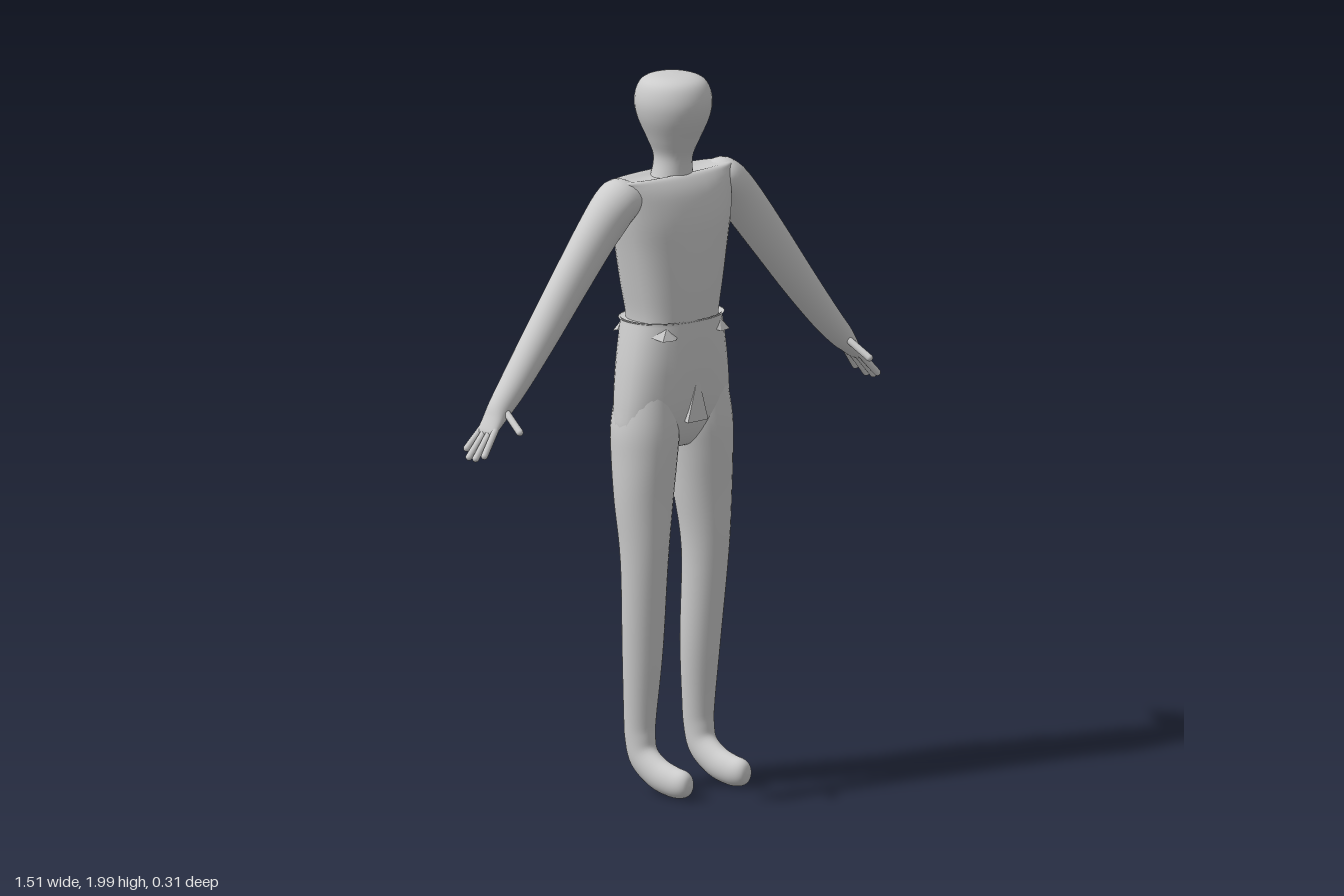
import * as THREE from 'three';
import { ConvexGeometry } from 'three/addons/geometries/ConvexGeometry.js';

const SIDES = 32;

// Smooth interpolation of one number along a list of rings
function spline(a, b, c, d, t) {
  const v = (c - a) / 2, w = (d - b) / 2;
  return (2 * b - 2 * c + v + w) * t ** 3 + (-3 * b + 3 * c - 2 * v - w) * t * t + v * t + b;
}

// Closed skin through rings [x, y, z, width radius, depth radius, tilt in degrees].
// The rings tilt about the x axis (body, legs) or about the z axis (arms).
function loft(rings, { axis = 'x', power = 2, steps = 5, mirror = 1 } = {}) {
  const fine = [];
  const last = rings.length - 1;
  for (let i = 0; i < last; i++) {
    for (let k = 0; k < steps; k++) {
      const q = [Math.max(i - 1, 0), i, i + 1, Math.min(i + 2, last)].map((j) => rings[j]);
      fine.push(q[0].map((_, n) => spline(q[0][n], q[1][n], q[2][n], q[3][n], k / steps)));
    }
  }
  fine.push(rings[last]);

  const pos = [], index = [];
  const bend = (v) => Math.sign(v) * Math.abs(v) ** (2 / power);
  for (const [x, y, z, rw, rd, tilt] of fine) {
    const c = Math.cos(tilt * Math.PI / 180), s = Math.sin(tilt * Math.PI / 180);
    for (let j = 0; j < SIDES; j++) {
      const a = j / SIDES * Math.PI * 2;
      const u = bend(Math.cos(a)) * rw, v = bend(Math.sin(a)) * rd;
      if (axis === 'x') pos.push(mirror * (x + u), y + v * s, z + v * c);
      else pos.push(mirror * (x + u * c), y + u * s, z + v);
    }
  }
  const rows = fine.length;
  for (let i = 0; i < rows - 1; i++) {
    for (let j = 0; j < SIDES; j++) {
      const a = i * SIDES + j, b = i * SIDES + (j + 1) % SIDES;
      index.push(a, a + SIDES, b, b, a + SIDES, b + SIDES);
    }
  }
  // End caps
  const first = fine[0], end = fine[rows - 1];
  pos.push(mirror * first[0], first[1], first[2], mirror * end[0], end[1], end[2]);
  for (let j = 0; j < SIDES; j++) {
    const k = (j + 1) % SIDES, r = (rows - 1) * SIDES;
    index.push(rows * SIDES, j, k, rows * SIDES + 1, r + k, r + j);
  }
  // Turn the faces outward
  let volume = 0;
  const p = (i) => new THREE.Vector3().fromArray(pos, i * 3);
  for (let i = 0; i < index.length; i += 3) {
    volume += p(index[i]).dot(p(index[i + 1]).cross(p(index[i + 2])));
  }
  if (volume < 0) index.reverse();
  const g = new THREE.BufferGeometry();
  g.setAttribute('position', new THREE.Float32BufferAttribute(pos, 3));
  g.setIndex(index);
  g.computeVertexNormals();
  return g;
}

export function createModel() {
  const model = new THREE.Group();
  model.name = 'figure';
  const grey = new THREE.MeshStandardMaterial({ color: 0xcccccc });
  grey.name = 'plain grey';
  const add = (name, geometry) => {
    const m = new THREE.Mesh(geometry, grey);
    m.name = name;
    model.add(m);
    return m;
  };
  const wedge = (name, points) =>
    add(name, new ConvexGeometry(points.map((q) => new THREE.Vector3(...q))));
  const rod = (name, from, to, r) => {
    const a = new THREE.Vector3(...from), b = new THREE.Vector3(...to);
    const m = add(name, new THREE.CapsuleGeometry(r, a.distanceTo(b) - r, 6, 12));
    m.position.copy(a).lerp(b, 0.5);
    m.quaternion.setFromUnitVectors(new THREE.Vector3(0, 1, 0), b.sub(a).normalize());
  };

  // Head and neck
  add('headAndNeck', loft([
    [0, 1.69, -0.035, 0.075, 0.062, 0], [0, 1.72, -0.032, 0.06, 0.056, 0],
    [0, 1.77, -0.028, 0.052, 0.057, 0], [0, 1.82, -0.027, 0.071, 0.077, 0],
    [0, 1.88, -0.027, 0.096, 0.104, 0], [0, 1.93, -0.027, 0.103, 0.112, 0],
    [0, 1.975, -0.027, 0.09, 0.097, 0], [0, 1.995, -0.027, 0.058, 0.062, 0],
    [0, 2.0, -0.027, 0.004, 0.004, 0],
  ]));

  // Torso with a flat, slightly sunken shoulder line
  add('torso', loft([
    [0, 1.28, -0.032, 0.128, 0.1, 0], [0, 1.34, -0.032, 0.132, 0.106, 0],
    [0, 1.42, -0.034, 0.147, 0.113, 0], [0, 1.52, -0.035, 0.167, 0.115, 0],
    [0, 1.6, -0.035, 0.184, 0.111, 0], [0, 1.67, -0.035, 0.196, 0.094, 0],
    [0, 1.71, -0.035, 0.207, 0.072, 0], [0, 1.724, -0.035, 0.208, 0.052, 0],
    [0, 1.716, -0.035, 0.1, 0.025, 0], [0, 1.714, -0.035, 0.01, 0.004, 0],
  ], { power: 2.5 }));

  // Hips
  add('hips', loft([
    [0, 1.322, -0.035, 0.02, 0.02, 0], [0, 1.322, -0.035, 0.149, 0.109, 0],
    [0, 1.322, -0.035, 0.15, 0.11, 0], [0, 1.26, -0.035, 0.163, 0.111, 0],
    [0, 1.18, -0.035, 0.177, 0.109, 0], [0, 1.08, -0.035, 0.189, 0.1, 0],
    [0, 1.01, -0.035, 0.188, 0.08, 0], [0, 0.965, -0.035, 0.14, 0.05, 0],
    [0, 0.955, -0.035, 0.02, 0.01, 0],
  ], { power: 2.3 }));

  // Pointed flaps in the middle of the hips, front and back
  for (const [name, f] of [['front', 1], ['back', -1]]) {
    const at = (x, y, d) => [x, y, -0.035 + f * d];
    wedge(name + 'Flap', [at(0, 1.17, 0.107), at(-0.038, 1.04, 0.107), at(0.038, 1.04, 0.107),
      at(-0.03, 1.045, 0.06), at(0.03, 1.045, 0.06), at(0, 1.15, 0.08)]);
  }

  for (const [side, s] of [['left', 1], ['right', -1]]) {
    // Small folded tabs below the waist
    for (const [name, f] of [['Front', 1], ['Back', -1]]) {
      const at = (x, y, d) => [s * x, y, -0.035 + f * d];
      wedge(side + name + 'Tab', [at(0.065, 1.288, 0.098), at(0.138, 1.288, 0.068),
        at(0.1, 1.312, 0.088), at(0.085, 1.279, 0.108), at(0.125, 1.279, 0.1), at(0.09, 1.285, 0.06)]);
    }

    // Leg bending forward into the foot
    add(side + 'Leg', loft([
      [0.095, 1.14, -0.034, 0.078, 0.085, 0], [0.099, 1.03, -0.034, 0.094, 0.096, 0],
      [0.104, 0.94, -0.032, 0.091, 0.092, 0], [0.11, 0.82, -0.028, 0.083, 0.08, 0],
      [0.114, 0.65, -0.021, 0.066, 0.066, 0], [0.108, 0.4, -0.034, 0.057, 0.056, 0],
      [0.109, 0.22, -0.043, 0.045, 0.046, 0], [0.11, 0.155, -0.042, 0.041, 0.044, 8],
      [0.11, 0.1, -0.025, 0.039, 0.044, 42], [0.109, 0.063, 0.03, 0.036, 0.045, 70],
      [0.108, 0.049, 0.09, 0.034, 0.043, 84], [0.108, 0.048, 0.13, 0.03, 0.038, 88],
      [0.108, 0.048, 0.149, 0.019, 0.025, 90], [0.108, 0.048, 0.155, 0.002, 0.002, 90],
    ], { mirror: s }));

    // Arm from the square shoulder to the wrist
    add(side + 'Arm', loft([
      [0.15, 1.672, -0.037, 0.045, 0.06, 90], [0.2, 1.664, -0.038, 0.066, 0.066, 78],
      [0.268, 1.597, -0.039, 0.063, 0.056, 46], [0.37, 1.475, -0.04, 0.058, 0.049, 41],
      [0.48, 1.34, -0.041, 0.05, 0.046, 40], [0.58, 1.222, -0.04, 0.041, 0.041, 41],
      [0.64, 1.158, -0.038, 0.033, 0.035, 43], [0.666, 1.128, -0.037, 0.022, 0.036, 44],
      [0.69, 1.1, -0.037, 0.011, 0.033, 44], [0.695, 1.094, -0.037, 0.003, 0.015, 44],
    ], { axis: 'z', mirror: s }));

    // Fingers and thumb
    [[-0.06, -0.077, 0.73, 1.052], [-0.045, -0.05, 0.746, 1.034],
      [-0.028, -0.022, 0.747, 1.034], [-0.013, 0.004, 0.738, 1.044]].forEach(([z0, z1, x, y], i) => {
      rod(`${side}Finger${i + 1}`, [s * 0.67, 1.122, z0], [s * x, y, z1], 0.0095);
    });
    rod(side + 'Thumb', [s * 0.638, 1.158, -0.02], [s * 0.655, 1.108, 0.062], 0.01);
  }
  return model;
}
